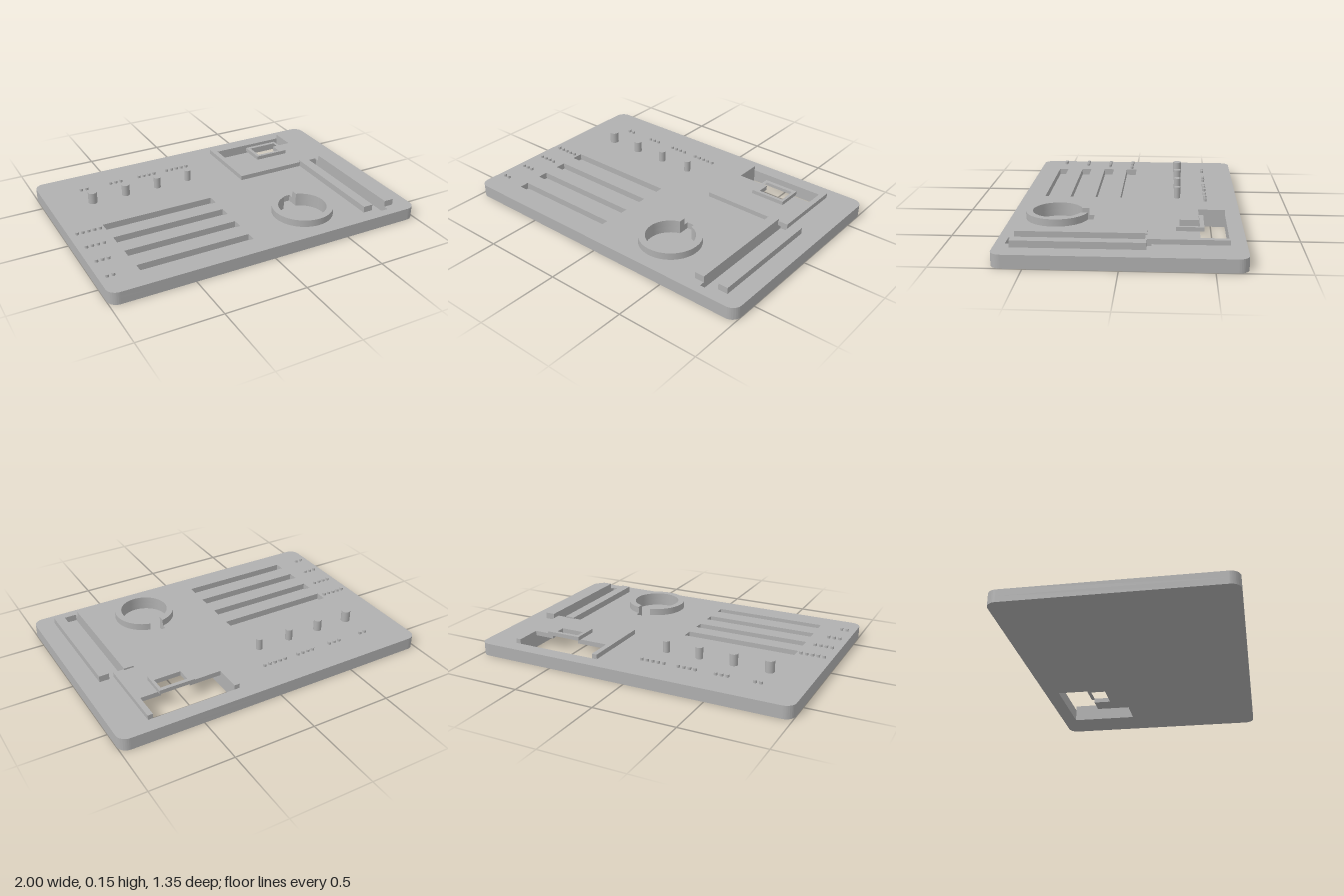
import * as THREE from 'three';
import { toCreasedNormals } from 'three/addons/utils/BufferGeometryUtils.js';

const TOP = 0.077, FLOOR = 0.037; // plate surface and bottom of its pockets

export function createModel() {
  const model = new THREE.Group();
  model.name = 'sorterPlate';
  const grey = new THREE.MeshStandardMaterial({ color: 0xb0b0b0 });
  grey.name = 'matte grey';

  const add = (name, geometry, parent = model) => {
    const mesh = new THREE.Mesh(geometry, grey);
    mesh.name = name;
    parent.add(mesh);
    return mesh;
  };
  const group = (name) => {
    const g = new THREE.Group();
    g.name = name;
    model.add(g);
    return g;
  };

  // Plan outlines are drawn with y = -z, then laid flat and raised
  const rect = (x0, x1, z0, z1, Type = THREE.Path) => {
    const p = new Type();
    p.moveTo(x0, -z0);
    p.lineTo(x1, -z0);
    p.lineTo(x1, -z1);
    p.lineTo(x0, -z1);
    p.closePath();
    return p;
  };
  const slab = (shape, y0, y1) => {
    const g = new THREE.ExtrudeGeometry(shape, { depth: y1 - y0, bevelEnabled: false, curveSegments: 32 });
    g.rotateX(-Math.PI / 2).translate(0, y0, 0);
    return toCreasedNormals(g, 0.5);
  };
  const block = (name, x0, x1, y0, y1, z0, z1, parent) => {
    const m = add(name, new THREE.BoxGeometry(x1 - x0, y1 - y0, z1 - z0), parent);
    m.position.set((x0 + x1) / 2, (y0 + y1) / 2, (z0 + z1) / 2);
  };
  const peg = (name, x, z, r, y1, parent) => {
    const m = add(name, new THREE.CylinderGeometry(r, r, y1 - TOP, 24), parent);
    m.position.set(x, (TOP + y1) / 2, z);
  };
  const plateOutline = () => {
    const s = new THREE.Shape(), w = 1, d = 0.675, r = 0.06;
    s.absarc(w - r, d - r, r, 0, Math.PI / 2);
    s.absarc(r - w, d - r, r, Math.PI / 2, Math.PI);
    s.absarc(r - w, r - d, r, Math.PI, Math.PI * 1.5);
    s.absarc(w - r, r - d, r, Math.PI * 1.5, Math.PI * 2);
    s.closePath();
    return s;
  };

  // Round pocket with a notch on its rear side
  const cx = 0.349, cz = 0.4, outer = 0.186, inner = 0.146, half = 0.043;
  const aIn = Math.acos(half / inner), aOut = Math.acos(half / outer);
  const roundPocket = new THREE.Path();
  roundPocket.absarc(cx, -cz, inner, Math.PI - aIn, aIn + Math.PI * 2);
  roundPocket.lineTo(cx + half, -0.187);
  roundPocket.lineTo(cx - half, -0.187);
  roundPocket.closePath();

  // Base plate: solid lower layer and upper layer with pockets
  const opening = () => rect(0.257, 0.765, -0.585, -0.17);
  const lower = plateOutline();
  lower.holes.push(opening());
  const upper = plateOutline();
  upper.holes.push(opening(), roundPocket, rect(0.733, 0.827, -0.165, 0.62));
  [
    [-0.78, -0.064, 0.024, 0.035],
    [-0.777, -0.066, 0.185, 0.033],
    [-0.774, -0.068, 0.347, 0.032],
    [-0.77, -0.07, 0.511, 0.03],
  ].forEach(([x0, x1, z, h]) => upper.holes.push(rect(x0, x1, z - h, z + h)));
  add('plateBottom', slab(lower, 0, FLOOR));
  add('plateTop', slab(upper, FLOOR, TOP));

  // Notched ring around the round pocket
  const ring = new THREE.Shape();
  ring.absarc(cx, -cz, outer, Math.PI - aOut, aOut + Math.PI * 2);
  ring.absarc(cx, -cz, inner, aIn + Math.PI * 2, Math.PI - aIn, true);
  ring.closePath();
  add('notchedRing', slab(ring, TOP, 0.12));

  // Guide rails on both sides of the long groove
  const rails = group('guideRails');
  block('innerRail', 0.672, 0.733, TOP, 0.116, -0.14, 0.587, rails);
  block('outerRail', 0.827, 0.888, TOP, 0.116, -0.14, 0.587, rails);

  // Raised cover, open at the back, with a notch beneath the window
  const cover = new THREE.Shape();
  [
    [0.224, -0.13], [0.797, -0.13], [0.797, -0.585], [0.765, -0.585], [0.765, -0.425],
    [0.64, -0.425], [0.64, -0.313], [0.457, -0.313], [0.457, -0.425],
    [0.257, -0.425], [0.257, -0.585], [0.224, -0.585],
  ].forEach(([x, z], i) => (i ? cover.lineTo(x, -z) : cover.moveTo(x, -z)));
  cover.closePath();
  add('cover', slab(cover, TOP, 0.106));

  // Window frame
  const frame = rect(0.436, 0.658, -0.449, -0.293, THREE.Shape);
  frame.holes.push(rect(0.457, 0.64, -0.425, -0.313));
  add('windowFrame', slab(frame, 0.106, 0.13));

  // Tall pegs, narrowing from right to left, and counting dots behind them
  const pegs = group('pegs');
  const dots = group('countingDots');
  [
    [-0.735, 0.028, -0.75],
    [-0.516, 0.025, -0.552],
    [-0.3, 0.022, -0.355],
    [-0.085, 0.02, -0.156],
  ].forEach(([x, r, dotX], i) => {
    peg('peg', x, -0.301, r, 0.148, pegs);
    for (let k = 0; k < i + 2; k++) peg('rearDot', dotX + k * 0.0355, -0.476, 0.0105, 0.093, dots);
  });

  // Counting dots beside the slots
  [0.024, 0.185, 0.347, 0.511].forEach((z, i) => {
    for (let k = 0; k < 5 - i; k++) peg('slotDot', -0.95 + k * 0.0355, z, 0.0105, 0.093, dots);
  });

  return model;
}
